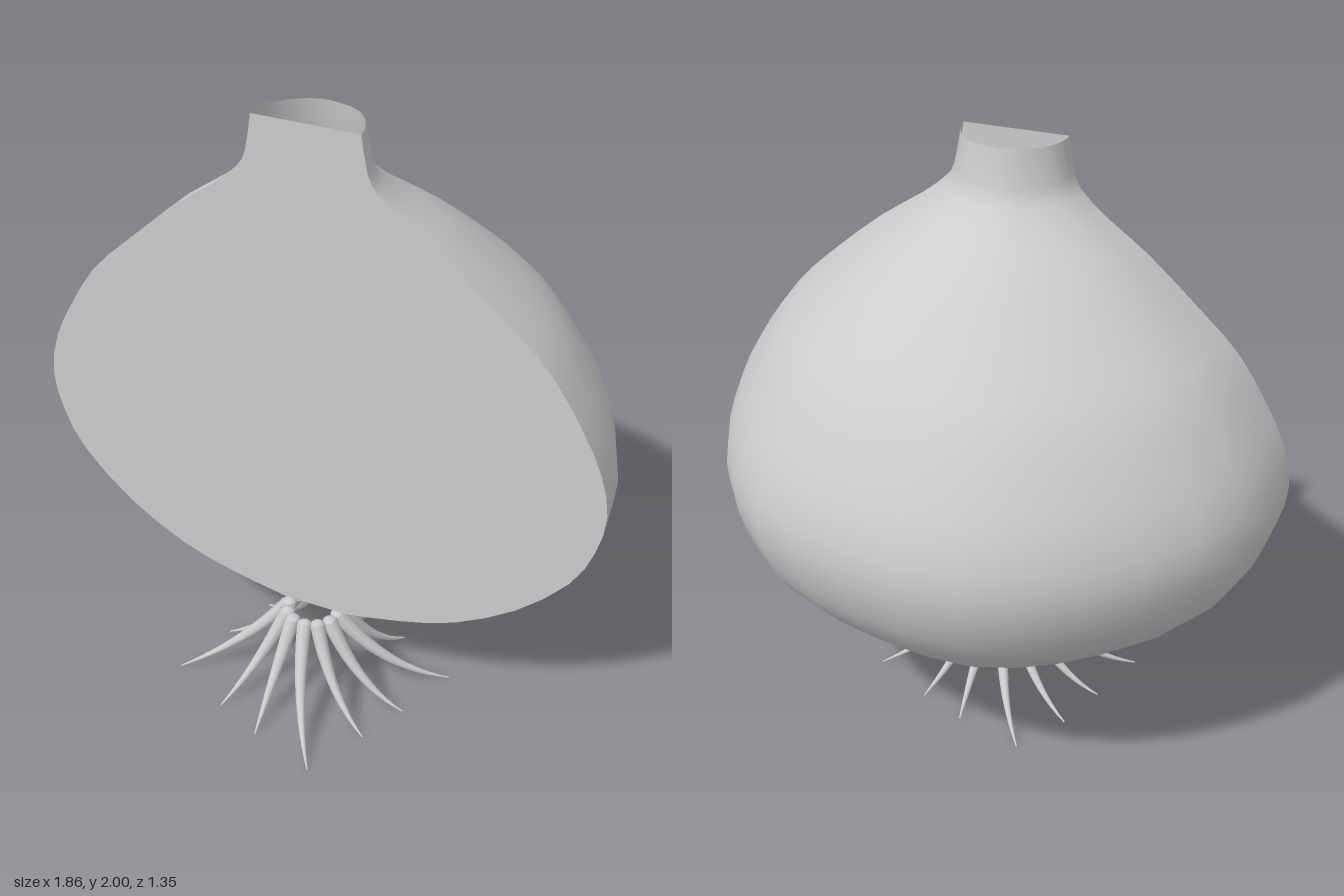
import * as THREE from 'three';

const CUT_Z = 0.26; // plane where the bulb is halved

// Radius and height of the bulb, from root plate to neck
const profile = new THREE.SplineCurve([
  [0.11, 0.3], [0.3, 0.34], [0.48, 0.4], [0.677, 0.52], [0.836, 0.68], [0.905, 0.82],
  [0.93, 0.96], [0.9, 1.1], [0.836, 1.23], [0.74, 1.38], [0.62, 1.5], [0.437, 1.66],
  [0.3, 1.757], [0.217, 1.83], [0.187, 1.885], [0.167, 2],
].map(([r, y]) => new THREE.Vector2(r, y))).getPoints(30);

// Slight unevenness around the half circle, from +x over the back to -x
const wobble = [0.995, 0.99, 0.983, 0.99, 1, 1.008, 0.998, 0.992, 1.005,
  1.017, 1.012, 1.004, 1.004, 1.017, 1.022, 1.01, 1];

// The neck leans a little to -x
const lean = (y) => -0.013 * THREE.MathUtils.smoothstep(y, 1.5, 1.83);

function halfShell() {
  const points = [new THREE.Vector2(0, 0.3), ...profile];
  const geo = new THREE.LatheGeometry(points, wobble.length - 1, Math.PI / 2, Math.PI);
  const pos = geo.attributes.position;
  for (let i = 0; i < pos.count; i++) {
    const k = wobble[Math.floor(i / points.length)];
    pos.setXYZ(i, pos.getX(i) * k + lean(pos.getY(i)), pos.getY(i), pos.getZ(i) * k + CUT_Z);
  }
  geo.computeVertexNormals();
  return geo;
}

function cutFace() {
  const side = (sign, k) => profile.map((p) => new THREE.Vector2(sign * p.x * k + lean(p.y), p.y));
  const outline = [...side(1, wobble[0]), ...side(-1, wobble[16]).reverse()];
  return new THREE.ShapeGeometry(new THREE.Shape(outline)).translate(0, 0, CUT_Z);
}

// Tapered, bent root: swirls from the root plate out to its tip
function rootGeometry(tipX, tipZ) {
  const cx = -0.01;
  const angle = Math.atan2(tipZ - CUT_Z, tipX - cx);
  const reach = Math.hypot(tipX - cx, tipZ - CUT_Z);
  const at = (r, a, y) => new THREE.Vector3(cx + r * Math.cos(a), y, CUT_Z + r * Math.sin(a));
  const curve = new THREE.QuadraticBezierCurve3(
    at(0.085, angle + 0.3, 0.285),
    at(0.085 + 0.42 * (reach - 0.085), angle + 0.21, 0.08),
    at(reach, angle, 0.005));
  const rings = 12, sides = 8;
  const geo = new THREE.TubeGeometry(curve, rings, 0.025, sides);
  const pos = geo.attributes.position;
  const v = new THREE.Vector3();
  for (let i = 0; i < pos.count; i++) {
    const t = Math.floor(i / (sides + 1)) / rings;
    const centre = curve.getPointAt(t);
    v.fromBufferAttribute(pos, i).sub(centre).multiplyScalar(1 - 0.9 * t ** 1.3).add(centre);
    pos.setXYZ(i, v.x, Math.max(v.y, 0), v.z);
  }
  return { geo, start: curve.v0 };
}

export function createModel() {
  const model = new THREE.Group();
  model.name = 'halvedBulb';
  const grey = new THREE.MeshStandardMaterial({ color: 0xcccccc, side: THREE.DoubleSide });
  grey.name = 'lightGrey';

  const add = (parent, name, geo) => {
    const mesh = new THREE.Mesh(geo, grey);
    mesh.name = name;
    parent.add(mesh);
    return mesh;
  };

  // Bulb: open at the neck, closed by the flat cut
  add(model, 'bulbShell', halfShell());
  add(model, 'cutFace', cutFace());

  // Twelve roots all the way round
  const roots = new THREE.Group();
  roots.name = 'roots';
  model.add(roots);
  const tips = [
    [0.33, 0.31], [0.26, 0.47], [0.16, 0.67], [-0.06, 0.6], [-0.22, 0.53], [-0.43, 0.42],
    [-0.36, 0.2], [-0.3, 0.02], [-0.19, -0.155], [0.04, -0.09], [0.2, -0.02], [0.41, 0.1],
  ];
  for (const [x, z] of tips) {
    const { geo, start } = rootGeometry(x, z);
    add(roots, 'root', geo);
    add(roots, 'rootCap', new THREE.SphereGeometry(0.025, 8, 6).scale(1, 0.6, 1)).position.copy(start);
  }
  return model;
}
